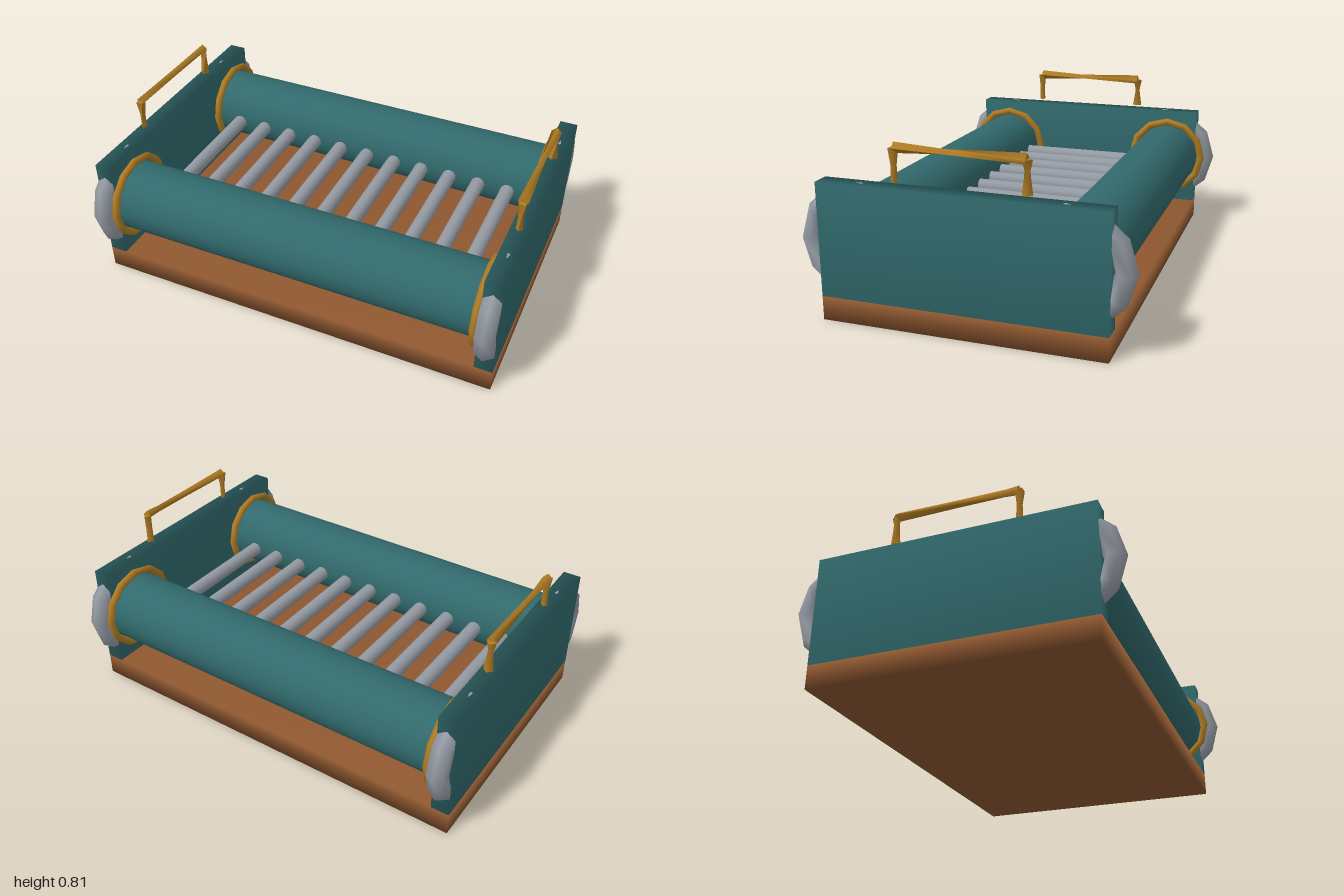
import * as THREE from 'three';
import { mergeVertices } from 'three/addons/utils/BufferGeometryUtils.js';

// Weld every corner so shading flows smoothly around the edges
function soften(geometry) {
  geometry.deleteAttribute('uv');
  geometry.deleteAttribute('normal');
  const welded = mergeVertices(geometry, 1e-4);
  welded.computeVertexNormals();
  return welded;
}

// Four-sided bar whose upper end is turned, giving it a pinched waist
function twistedBar(rTop, rBottom, length, twist) {
  const g = new THREE.CylinderGeometry(rTop, rBottom, length, 4, 2);
  const p = g.attributes.position;
  const v = new THREE.Vector3();
  const up = new THREE.Vector3(0, 1, 0);
  for (let i = 0; i < p.count; i++) {
    v.fromBufferAttribute(p, i);
    const t = v.y / length + 0.5;
    const pinch = 1 - 0.35 * Math.sin(Math.PI * t);
    v.x *= pinch;
    v.z *= pinch;
    v.applyAxisAngle(up, twist * t);
    p.setXYZ(i, v.x, v.y, v.z);
  }
  g.computeVertexNormals();
  return g;
}

export function createModel() {
  const model = new THREE.Group();
  model.name = 'rollerTray';

  const material = (name, color) => {
    const m = new THREE.MeshStandardMaterial({ color });
    m.name = name;
    return m;
  };
  const teal = material('teal', 0x31696c);
  const brown = material('brown', 0x8f5830);
  const grey = material('grey', 0x949aa3);
  const gold = material('gold', 0xb07c24);

  const add = (name, geometry, mat, x, y, z, parent = model) => {
    const mesh = new THREE.Mesh(geometry, mat);
    mesh.name = name;
    mesh.position.set(x, y, z);
    parent.add(mesh);
    return mesh;
  };

  const axleY = 0.37, axleZ = 0.48, plateX = 0.957;

  // Base board
  add('base', soften(new THREE.BoxGeometry(2, 0.11, 1.28)), brown, 0, 0.055, 0);

  // End plates
  const plate = soften(new THREE.BoxGeometry(0.086, 0.515, 1.28));
  for (const sx of [-1, 1]) add('endPlate', plate, teal, sx * plateX, 0.3675, 0);

  // Rollers, with a collar and a bearing ring at each end
  const roller = soften(new THREE.CylinderGeometry(0.172, 0.172, 1.84, 32).rotateZ(Math.PI / 2));
  const collar = soften(new THREE.TorusGeometry(0.198, 0.019, 6, 12).rotateY(Math.PI / 2));
  for (const sz of [-1, 1]) {
    add('roller', roller, teal, 0, axleY, sz * axleZ);
    const bearing = soften(new THREE.TorusGeometry(0.214, 0.048, 6, 11).rotateY(-sz * Math.PI / 2));
    for (const sx of [-1, 1]) {
      add('rollerCollar', collar, gold, sx * 0.9, axleY, sz * axleZ);
      add('bearingRing', bearing, grey, sx * plateX, axleY, sz * axleZ);
    }
  }

  // Row of rods between the rollers
  const rod = soften(new THREE.CylinderGeometry(0.036, 0.036, 0.68, 12).rotateX(Math.PI / 2));
  for (let i = 0; i < 11; i++) add('rod', rod, grey, -0.77 + i * 0.153, 0.362, 0);

  // Carrying handles above the end plates
  const grip = twistedBar(0.024, 0.024, 0.575, Math.PI / 2).rotateX(Math.PI / 2);
  const frontPost = twistedBar(0.023, 0.016, 0.145, Math.PI / 4);
  const backPost = twistedBar(0.023, 0.024, 0.145, Math.PI / 2);
  for (const sx of [-1, 1]) {
    const handle = new THREE.Group();
    handle.name = 'handle';
    handle.position.x = sx * plateX;
    model.add(handle);
    add('handleGrip', grip, gold, 0, 0.791, 0, handle);
    add('handleFrontPost', frontPost, gold, 0, 0.717, 0.29, handle);
    add('handleBackPost', backPost, gold, 0, 0.717, -0.288, handle);
  }

  return model;
}
